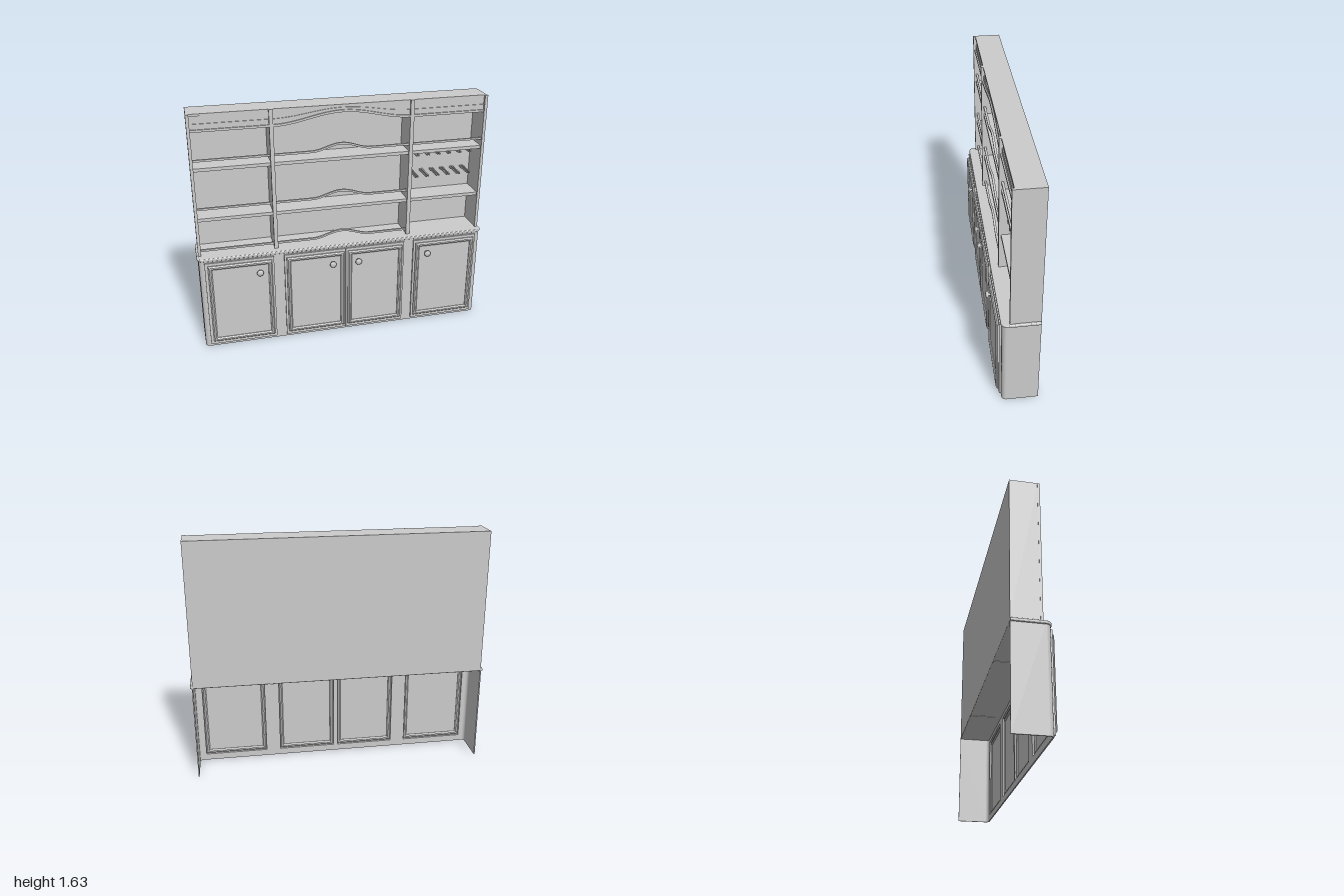
import * as THREE from 'three';

const BACK = -0.145;

export function createModel() {
  const root = new THREE.Group();
  const mat = new THREE.MeshStandardMaterial({ color: 0xcccccc, side: THREE.DoubleSide });

  const add = (name, geo, parent = root) => {
    const m = new THREE.Mesh(geo, mat);
    m.name = name;
    parent.add(m);
    return m;
  };
  // Box given by its two extreme corners
  const box = (name, x0, x1, y0, y1, z0, z1, parent) => {
    const g = new THREE.BoxGeometry(x1 - x0, y1 - y0, z1 - z0);
    g.translate((x0 + x1) / 2, (y0 + y1) / 2, (z0 + z1) / 2);
    return add(name, g, parent);
  };
  const rect = (Type, x0, x1, y0, y1) => {
    const s = new Type();
    s.moveTo(x0, y0);
    s.lineTo(x1, y0);
    s.lineTo(x1, y1);
    s.lineTo(x0, y1);
    s.closePath();
    return s;
  };
  // Board whose lower and upper edges follow functions of x
  const band = (name, x0, x1, low, high, z0, z1, steps = 48) => {
    const pts = [];
    for (let i = 0; i <= steps; i++) {
      const x = x0 + ((x1 - x0) * i) / steps;
      pts.push(new THREE.Vector2(x, low(x)));
    }
    for (let i = steps; i >= 0; i--) {
      const x = x0 + ((x1 - x0) * i) / steps;
      pts.push(new THREE.Vector2(x, high(x)));
    }
    const g = new THREE.ExtrudeGeometry(new THREE.Shape(pts), { depth: z1 - z0, bevelEnabled: false });
    g.translate(0, 0, z0);
    return add(name, g);
  };
  const bell = (x, centre, half) => {
    const t = Math.min(1, Math.abs(x - centre) / half);
    return 0.5 * (1 + Math.cos(Math.PI * t));
  };

  // ---- Base cabinet: thin sides that curve round into the front ----
  const R = 0.03, T = 0.008, W = 0.99, F = 0.09;
  for (const s of [1, -1]) {
    const p = new THREE.Shape();
    p.moveTo(W, -BACK);
    p.lineTo(W, -F + R);
    p.absarc(W - R, -F + R, R, 0, -Math.PI / 2, true);
    p.lineTo(W - R, -F + T);
    p.absarc(W - R, -F + R, R - T, -Math.PI / 2, 0, false);
    p.lineTo(W - T, -BACK);
    p.closePath();
    const g = new THREE.ExtrudeGeometry(p, { depth: 0.66, bevelEnabled: false, curveSegments: 8 });
    g.rotateX(-Math.PI / 2);
    const m = add(s > 0 ? 'leftBaseSide' : 'rightBaseSide', g);
    m.scale.x = s;
  }

  // Door list: outer edges and knob position
  const doors = [
    { x0: -0.955, x1: -0.495, a: -0.935, b: -0.51, knob: -0.595 },
    { x0: -0.425, x1: -0.002, a: -0.41, b: -0.012, knob: -0.095 },
    { x0: 0.002, x1: 0.42, a: 0.015, b: 0.405, knob: 0.085 },
    { x0: 0.49, x1: 0.95, a: 0.505, b: 0.935, knob: 0.585 },
  ];

  // Face frame with an opening behind each door
  const face = rect(THREE.Shape, -W + R, W - R, 0, 0.66);
  for (const d of doors) face.holes.push(rect(THREE.Path, d.a, d.b, 0.045, 0.625));
  const faceGeo = new THREE.ExtrudeGeometry(face, { depth: T, bevelEnabled: false });
  faceGeo.translate(0, 0, F - T);
  add('faceFrame', faceGeo);

  // Knob profile, turned to point forward
  const knobProfile = [
    [0, 0], [0.011, 0], [0.008, 0.006], [0.008, 0.016], [0.018, 0.02],
    [0.023, 0.026], [0.021, 0.032], [0.012, 0.037], [0, 0.038],
  ].map(([r, h]) => new THREE.Vector2(r, h));

  for (const d of doors) {
    const door = new THREE.Group();
    door.name = 'door';
    root.add(door);
    // Outer door board
    const leaf = rect(THREE.Shape, d.x0, d.x1, 0.02, 0.645);
    leaf.holes.push(rect(THREE.Path, d.a, d.b, 0.045, 0.625));
    const leafGeo = new THREE.ExtrudeGeometry(leaf, { depth: 0.013, bevelEnabled: false });
    leafGeo.translate(0, 0, F);
    add('doorBoard', leafGeo, door);
    // Bevelled moulding around the panel
    const e = 0.008;
    const ring = rect(THREE.Shape, d.a + e, d.b - e, 0.045 + e, 0.625 - e);
    ring.holes.push(rect(THREE.Path, d.a + 0.018, d.b - 0.018, 0.063, 0.607));
    const ringGeo = new THREE.ExtrudeGeometry(ring, {
      depth: 0.014, bevelEnabled: true, bevelSegments: 1, bevelSize: e, bevelThickness: e,
    });
    ringGeo.translate(0, 0, F + e);
    add('doorMoulding', ringGeo, door);
    box('doorPanel', d.a + 0.015, d.b - 0.015, 0.06, 0.61, 0.1, 0.107, door);
    const knobGeo = new THREE.LatheGeometry(knobProfile, 24);
    knobGeo.rotateX(Math.PI / 2);
    knobGeo.translate(d.knob, 0.548, 0.107);
    add('knob', knobGeo, door);
  }

  // ---- Counter with rounded front corners and a soft edge ----
  const B = 0.006, cw = 1 - B, cf = 0.097 - B, cr = 0.035;
  const top = new THREE.Shape();
  top.moveTo(-cw, -BACK - B);
  top.lineTo(-cw, -cf + cr);
  top.absarc(-cw + cr, -cf + cr, cr, Math.PI, Math.PI * 1.5, false);
  top.lineTo(cw - cr, -cf);
  top.absarc(cw - cr, -cf + cr, cr, -Math.PI / 2, 0, false);
  top.lineTo(cw, -BACK - B);
  top.closePath();
  // Shape y maps to -z, so front edges are drawn at negative y and flipped here
  const counterGeo = new THREE.ExtrudeGeometry(top, {
    depth: 0.008, bevelEnabled: true, bevelSize: B, bevelThickness: B, bevelSegments: 3, curveSegments: 8,
  });
  counterGeo.rotateX(-Math.PI / 2);
  counterGeo.translate(0, 0.661, 0);
  add('counter', counterGeo);

  // ---- Upper rack: back, sides, dividers ----
  const TOP = 1.635;
  box('backPanel', -0.985, 0.985, 0.66, TOP, BACK, -0.139);
  box('topBoard', -0.98, 0.98, 1.62, TOP, BACK, 0.03);
  for (const s of [-1, 1]) {
    const mid = s * 0.978;
    box('rackSide', mid - 0.008, mid + 0.008, 0.67, TOP, BACK, 0.035);
    box('rackPost', mid - 0.01, mid + 0.01, 0.67, TOP, 0.03, 0.045);
  }
  for (const x of [-0.467, 0.463]) {
    box('divider', x - 0.01, x + 0.01, 0.652, TOP, -0.14, 0.035);
    box('dividerPost', x - 0.013, x + 0.013, 0.67, TOP, 0.03, 0.045);
  }

  const bays = [
    { name: 'right', x0: -0.97, x1: -0.477, arch: 0, rails: [0.7, 0.995, 1.325] },
    { name: 'centre', x0: -0.457, x1: 0.453, arch: 1, rails: [0.7, 0.995, 1.325] },
    { name: 'left', x0: 0.473, x1: 0.97, arch: 0, rails: [1.325] },
  ];
  for (const b of bays) {
    // Shelves and the slim guard rails above them
    for (const y of [0.915, 1.26]) box(b.name + 'Shelf', b.x0, b.x1, y, y + 0.022, -0.14, 0.03);
    for (const y of b.rails) {
      const lift = (x) => y + b.arch * 0.043 * bell(x, -0.01, 0.2);
      band(b.name + 'GuardRail', b.x0, b.x1, lift, (x) => lift(x) + 0.013, 0.015, 0.03, b.arch ? 48 : 1);
    }
    // Valance: soffit block plus stepped moulding along its lower edge
    const h = (x) => b.arch * bell(x, 0, 0.455);
    const n = b.arch ? 48 : 1;
    const low = (x) => 1.52 + 0.065 * h(x);
    const step = (x) => 1.535 + 0.065 * h(x);
    const upper = (x) => 1.57 + 0.045 * h(x);
    band(b.name + 'Valance', b.x0, b.x1, low, () => TOP - 0.002, -0.14, 0.022, n);
    band(b.name + 'ValanceBand', b.x0, b.x1, step, upper, 0.022, 0.028, n);
    band(b.name + 'ValanceBead', b.x0, b.x1, low, step, 0.022, 0.037, n);
  }

  // Two rows of paired plate pegs in the left bay
  for (const y of [1.235, 1.08])
    for (let i = 0; i < 6; i++)
      for (const s of [-1, 1]) {
        const x = 0.53 + i * 0.076 + s * 0.008;
        box('platePeg', x - 0.004, x + 0.004, y - 0.006, y + 0.006, -0.14, 0.0);
      }

  return root;
}
